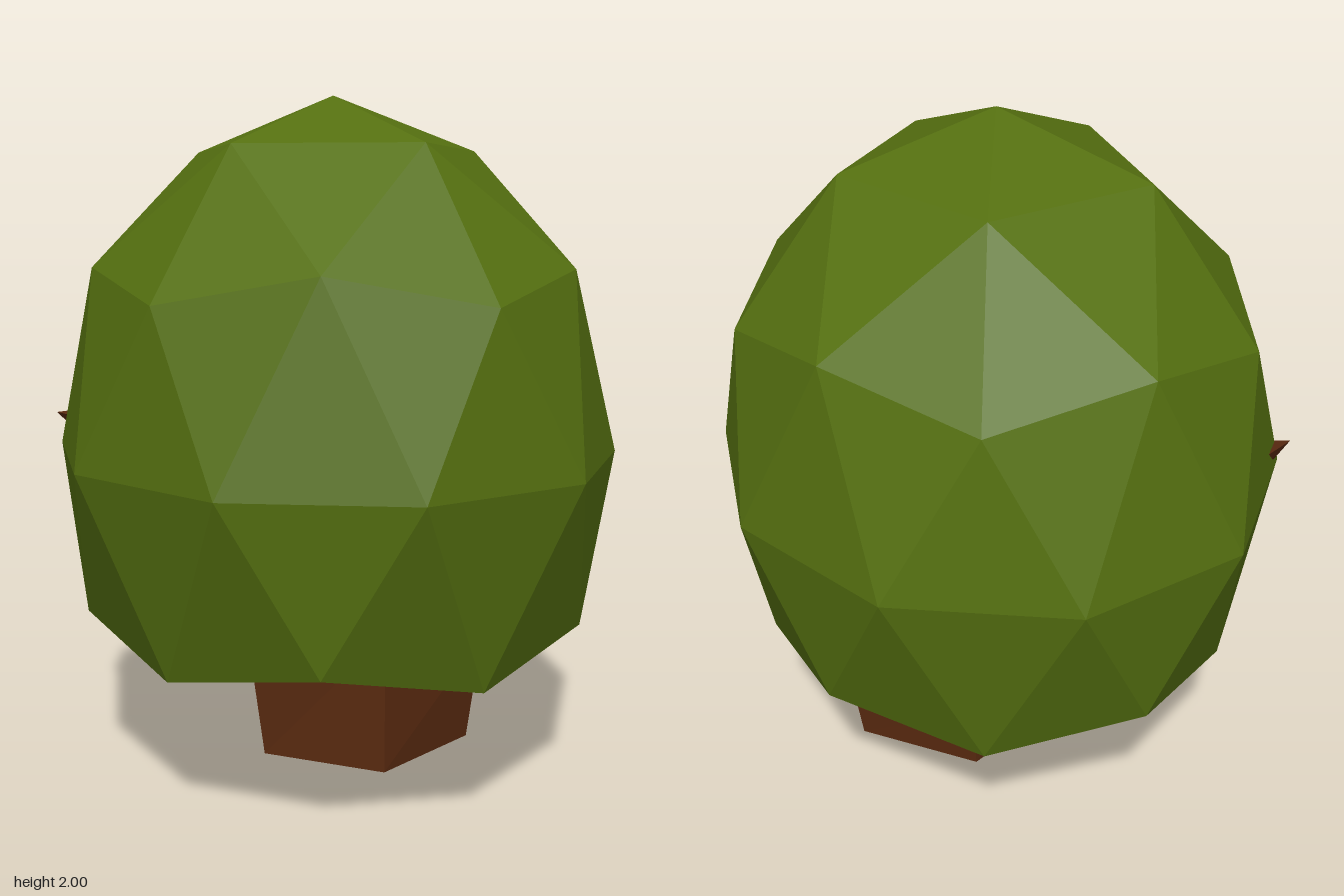
import * as THREE from 'three';

// Skin a list of four-cornered rings, closing both ends
function loft(rings) {
  const pos = [];
  const quad = (a, b, c, d) => pos.push(...a, ...b, ...c, ...a, ...c, ...d);
  for (let r = 0; r < rings.length - 1; r++) {
    for (let i = 0; i < 4; i++) {
      const j = (i + 1) % 4;
      quad(rings[r][i], rings[r][j], rings[r + 1][j], rings[r + 1][i]);
    }
  }
  const first = rings[0], last = rings[rings.length - 1];
  quad(first[3], first[2], first[1], first[0]);
  quad(...last);
  const geo = new THREE.BufferGeometry();
  geo.setAttribute('position', new THREE.Float32BufferAttribute(pos, 3));
  geo.computeVertexNormals();
  return geo;
}

// Faceted ball with a point at the top and a flattened underside
function crownGeometry() {
  const geo = new THREE.IcosahedronGeometry(1, 1);
  geo.rotateZ(-Math.atan(2 / (1 + Math.sqrt(5))));
  const p = geo.attributes.position;
  for (let i = 0; i < p.count; i++) p.setY(i, Math.max(p.getY(i), -0.5257));
  geo.scale(0.825, 1.025, 0.912);
  geo.computeVertexNormals();
  return geo;
}

export function createModel() {
  const tree = new THREE.Group();
  tree.name = 'tree';
  const leaf = new THREE.MeshStandardMaterial({ color: 0x557010, flatShading: true });
  const bark = new THREE.MeshStandardMaterial({ color: 0x5a2a10, flatShading: true });

  const crown = new THREE.Mesh(crownGeometry(), leaf);
  crown.name = 'crown';
  crown.position.set(0.005, 0.975, 0);
  tree.add(crown);

  // Corners run front, left (+x), back, right (-x)
  const base = [[0.12, 0, 0.175], [0.46, 0, -0.05], [0.14, 0, -0.28], [-0.2, 0, -0.06]];
  const bend = [[0.12, 0.43, 0.18], [0.51, 0.33, -0.05], [0.15, 0.2, -0.29], [-0.24, 0.3, -0.06]];
  const fork = bend.map(([x, y, z]) => [x - 0.06, y + 0.24, z - 0.33]);
  // Branch end that just breaks through the leaves
  const tip = [[-0.69, 1.04, -0.27], [-0.64, 1.12, -0.36], [-0.64, 1.06, -0.43], [-0.79, 1.06, -0.33]];

  const trunk = new THREE.Mesh(loft([base, bend, fork, tip]), bark);
  trunk.name = 'trunk';
  tree.add(trunk);
  return tree;
}
